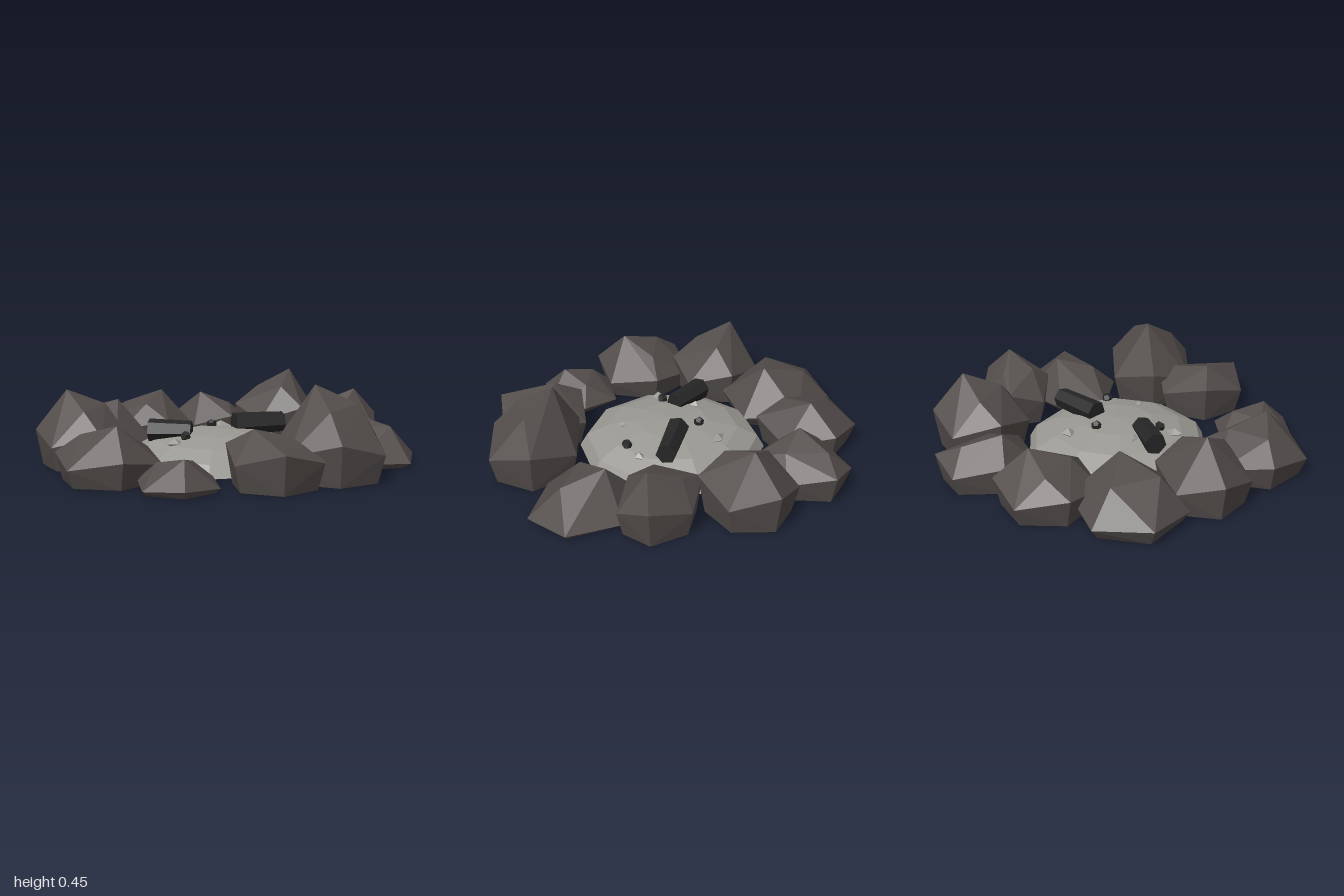
import * as THREE from 'three';
import { ConvexGeometry } from 'three/addons/geometries/ConvexGeometry.js';

const flat = (name, color) => {
  const m = new THREE.MeshStandardMaterial({ color, flatShading: true });
  m.name = name;
  return m;
};

const MOUND = { r: 0.48, h: 0.165, x: 0.005, z: 0.015 };

// Height of the ash surface at a spot
const ashHeight = (x, z) => {
  const d = Math.hypot(x - MOUND.x, z - MOUND.z) / MOUND.r;
  return MOUND.h * Math.sqrt(Math.max(0, 1 - d * d));
};

// Boulder: six waist corners fitted to width and depth, a narrower foot, and a three-point crown
function boulder(width, depth, height, waist, turn, peak) {
  const polar = (degrees, r, y) => {
    const a = THREE.MathUtils.degToRad(degrees);
    return new THREE.Vector3(Math.cos(a) * r, y, Math.sin(a) * r);
  };
  const points = [];
  for (let i = 0; i < 6; i++) {
    points.push(polar(turn + i * 60, 1, waist * (i % 2 ? 1.2 : 0.8)));
    points.push(polar(turn + i * 60, 0.86, 0));
  }
  points.push(polar(peak, 0.4, height));
  points.push(polar(peak + 120, 0.5, height * 0.8), polar(peak - 120, 0.5, height * 0.76));
  const size = new THREE.Box3().setFromPoints(points).getSize(new THREE.Vector3());
  const fit = new THREE.Vector3(width / size.x, 1, depth / size.z);
  return new ConvexGeometry(points.map(p => p.multiply(fit)));
}

export function createModel() {
  const group = new THREE.Group();
  const stone = flat('dark stone', 0x534d4b);
  const ash = flat('ash grey', 0x9a9892);
  const char = flat('charred black', 0x262626);
  const add = (name, geometry, material, parent = group) => {
    const mesh = new THREE.Mesh(geometry, material);
    mesh.name = name;
    parent.add(mesh);
    return mesh;
  };

  // Ring of boulders, clockwise from the back: x, z, width, depth, height, waist, turn, peak direction
  const ring = new THREE.Group();
  ring.name = 'stoneRing';
  group.add(ring);
  [
    [-.1, -.715, .41, .48, .26, .12, -8, 140],
    [.27, -.64, .46, .47, .39, .17, -10, -45],
    [.6, -.36, .42, .38, .33, .16, 30, 0],
    [.725, 0, .55, .51, .24, .03, 34, -113],
    [.59, .435, .5, .47, .45, .17, 20, -145],
    [.325, .62, .47, .48, .27, .16, 15, 180],
    [-.11, .74, .4, .42, .16, .03, 14, 63],
    [-.465, .57, .53, .48, .28, .11, 5, 58],
    [-.655, .205, .5, .4, .38, .15, 0, 200],
    [-.68, -.185, .64, .49, .28, .07, 0, 0],
    [-.455, -.515, .51, .48, .28, .12, -7, -40],
  ].forEach(([x, z, ...shape], i) =>
    add(`boulder${i + 1}`, boulder(...shape), stone, ring).position.set(x, 0, z));

  // Faceted ash mound with a flat underside
  const profile = [new THREE.Vector2(0, 0)];
  for (let i = 0; i < 4; i++) {
    const a = (i * Math.PI) / 8;
    profile.push(new THREE.Vector2(MOUND.r * Math.cos(a), MOUND.h * Math.sin(a)));
  }
  profile.push(new THREE.Vector2(0, MOUND.h));
  add('ashMound', new THREE.LatheGeometry(profile, 10), ash).position.set(MOUND.x, 0, MOUND.z);

  // Two charred logs lying on the ash
  [
    [-.235, .165, .09, .22, -.05, .058],
    [.2, .175, -.13, .27, .42, .06],
  ].forEach(([x, y, z, length, yaw, r], i) => {
    const geometry = new THREE.CylinderGeometry(r * 0.88, r, length, 6);
    geometry.rotateY(0.2).rotateZ(-Math.PI / 2).rotateY(yaw);
    add(`charredLog${i + 1}`, geometry, char).position.set(x, y, z);
  });

  // Small lumps of charcoal
  [[-.045, -.12], [.31, .07], [-.145, .19]].forEach(([x, z], i) => {
    const lump = add(`charcoal${i + 1}`, new THREE.DodecahedronGeometry(0.027, 0), char);
    lump.position.set(x, ashHeight(x, z) + 0.008, z);
    lump.rotation.set(i, i * 2 + 0.5, 0.4);
  });

  // Pale ash flakes poking out of the mound
  [[-.01, -.26, .055], [.34, -.03, .042], [-.21, .02, .038], [-.19, .25, .05], [.175, .2, .03]]
    .forEach(([x, z, size], i) => {
      const flake = add(`ashFlake${i + 1}`, new THREE.OctahedronGeometry(size, 0), ash);
      flake.position.set(x, ashHeight(x, z), z);
      flake.rotation.y = i * 1.3;
      flake.scale.set(1, 0.5, 0.65);
    });

  return group;
}
